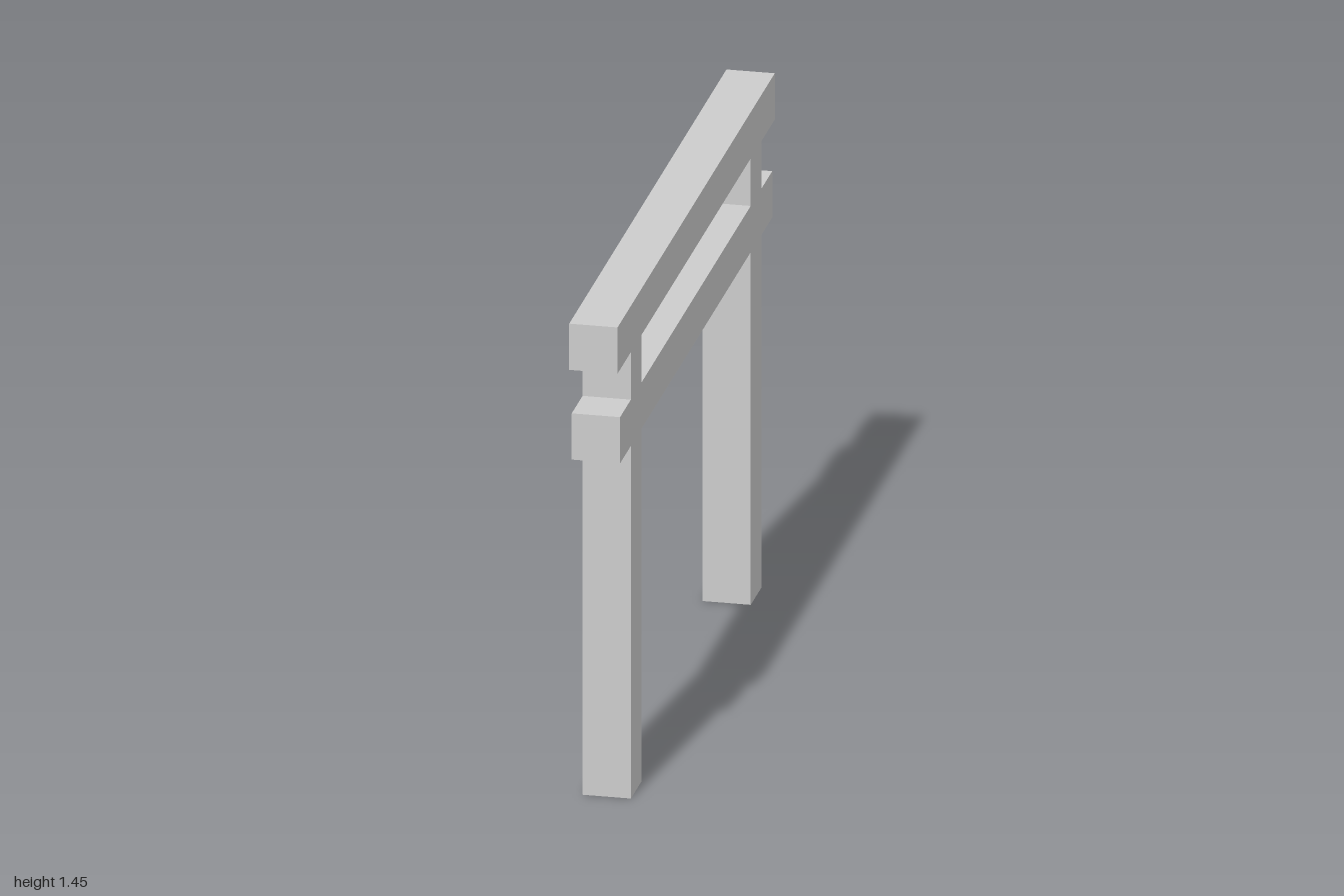
import * as THREE from 'three';

const T = 0.136; // every timber has the same square section
const POST_Z = 0.762;
const TIE_Y = 1.038; // underside of the lower beam
const LINTEL_Y = 1.314; // underside of the top beam

export function createModel() {
  const model = new THREE.Group();
  model.name = 'gateway';
  const material = new THREE.MeshStandardMaterial({ color: 0xcccccc, flatShading: true });

  const timber = (name, height, length, bottom, z = 0) => {
    const mesh = new THREE.Mesh(new THREE.BoxGeometry(T, height, length), material);
    mesh.name = name;
    mesh.position.set(0, bottom + height / 2, z);
    model.add(mesh);
  };

  // Two horizontal beams
  timber('topBeam', T, 2, LINTEL_Y);
  timber('lowerBeam', T, 1.936, TIE_Y);

  // Posts, butted flush against the beams
  for (const [end, side] of [['front', 1], ['back', -1]]) {
    timber(end + 'Post', TIE_Y, T, 0, side * POST_Z);
    timber(end + 'PostTop', LINTEL_Y - TIE_Y - T, T, TIE_Y + T, side * POST_Z);
  }
  return model;
}
